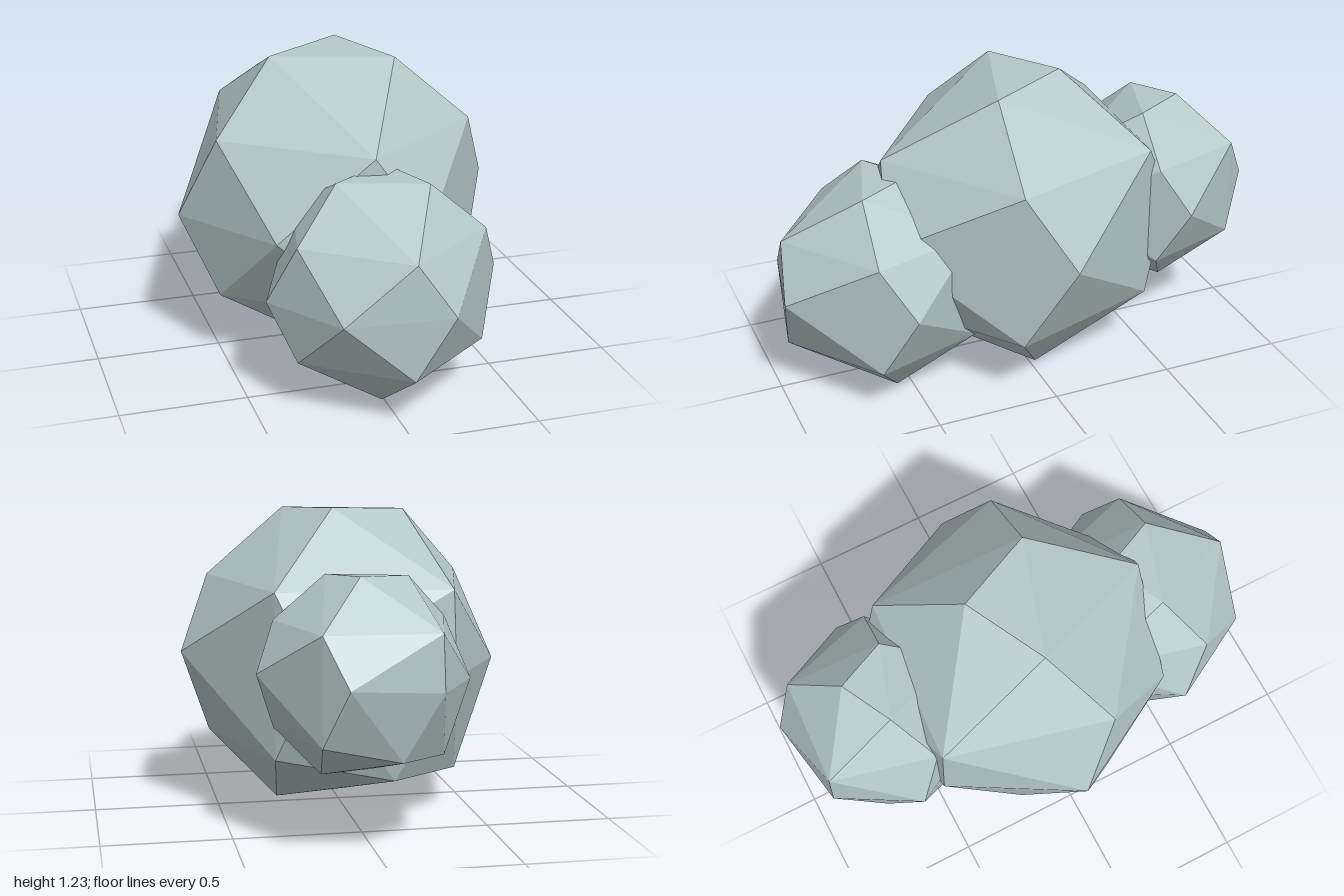
import * as THREE from 'three';
import { ConvexGeometry } from 'three/addons/geometries/ConvexGeometry.js';

// Corners of one faceted boulder, relative to its centre
const CORNERS = [
  // front
  [0, 0.325, 0.54], [0, -0.325, 0.54], [0.2, 0.035, 0.59], [-0.37, 0, 0.48],
  // sides
  [0.52, 0.325, 0.15], [0.52, -0.325, 0.15], [-0.52, 0.325, 0.15], [-0.52, -0.325, 0.15],
  [0.645, 0.035, -0.02], [-0.645, -0.03, -0.02],
  // top
  [-0.26, 0.595, -0.02], [0.21, 0.595, 0.13], [0.06, 0.615, -0.19],
  // underside
  [-0.05, -0.61, 0.15], [0.26, -0.585, -0.01], [-0.44, -0.445, -0.21], [-0.14, -0.425, -0.46],
  // back
  [0.33, 0.325, -0.47], [0.33, -0.32, -0.47], [0.2, 0.035, -0.625],
  [-0.355, 0.325, -0.505], [-0.365, -0.015, -0.52],
];

export function createModel() {
  const group = new THREE.Group();
  group.name = 'boulders';
  const stone = new THREE.MeshStandardMaterial({ color: 0xb4c8c8, flatShading: true });
  stone.name = 'pale stone';
  const geometry = new ConvexGeometry(CORNERS.map((c) => new THREE.Vector3(...c)));

  // The same boulder at three sizes, overlapping in a row
  const boulders = [
    ['largeBoulder', 1, [0, 0.615, 0]],
    ['frontBoulder', 0.71, [0.02, 0.45, 0.58]],
    ['backBoulder', 0.63, [0.015, 0.64, -0.605]],
  ];
  for (const [name, scale, position] of boulders) {
    const mesh = new THREE.Mesh(geometry, stone);
    mesh.name = name;
    mesh.scale.setScalar(scale);
    mesh.position.set(...position);
    group.add(mesh);
  }
  return group;
}
